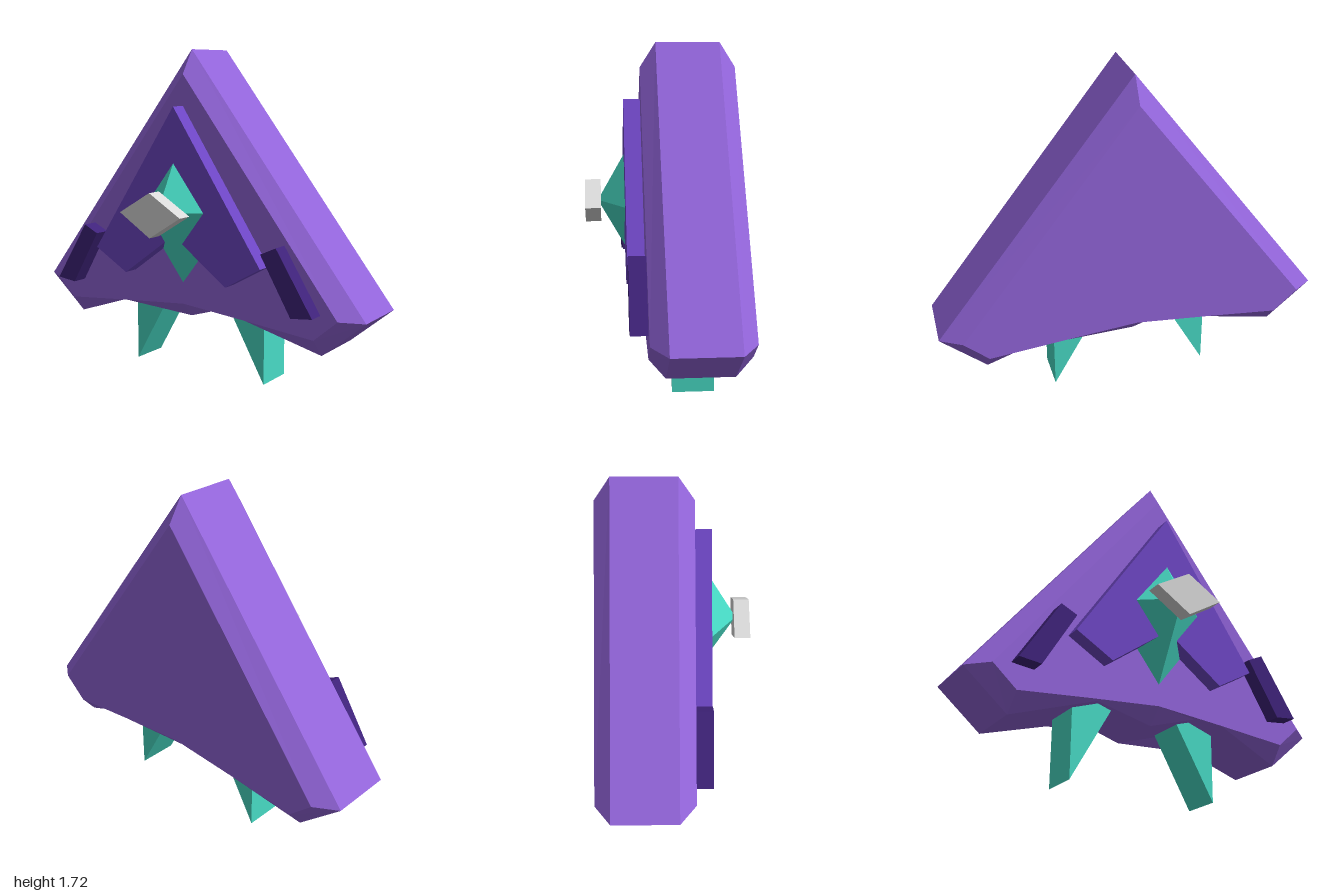
import * as THREE from 'three';

const paint = (name, color) => {
  const m = new THREE.MeshStandardMaterial({ color });
  m.name = name;
  return m;
};

// Half outline (apex to bottom centre, x >= 0) mirrored into a full anticlockwise ring
function mirrorRing(half) {
  const left = half.map(([x, y]) => [-x, y]);
  return [...left, ...half.slice(1, -1).reverse()];
}

// Flat-faced solid through rings ordered front to back, capped at both ends
function loft(rings) {
  const pos = [];
  const n = rings[0].points.length;
  const put = (r, i) => pos.push(...rings[r].points[i % n], rings[r].z);
  for (let r = 0; r < rings.length - 1; r++) {
    for (let i = 0; i < n; i++) {
      put(r, i); put(r + 1, i); put(r + 1, i + 1);
      put(r, i); put(r + 1, i + 1); put(r, i + 1);
    }
  }
  const last = rings.length - 1;
  const contour = rings[0].points.map(([x, y]) => new THREE.Vector2(x, y));
  for (const [a, b, c] of THREE.ShapeUtils.triangulateShape(contour, [])) {
    put(0, a); put(0, b); put(0, c);
    put(last, a); put(last, c); put(last, b);
  }
  const g = new THREE.BufferGeometry();
  g.setAttribute('position', new THREE.Float32BufferAttribute(pos, 3));
  g.computeVertexNormals();
  return g;
}

// Straight plate from an outline between two depths
function plate(points, zBack, zFront) {
  const shape = new THREE.Shape(points.map(([x, y]) => new THREE.Vector2(x, y)));
  const g = new THREE.ExtrudeGeometry(shape, { depth: zFront - zBack, bevelEnabled: false });
  return g.translate(0, 0, zBack);
}

export function createModel() {
  const group = new THREE.Group();
  const purple = paint('purple', 0x9365db);
  const violet = paint('violet', 0x6f47c6);
  const darkViolet = paint('dark violet', 0x40237c);
  const teal = paint('teal', 0x48dcc6);
  const silver = paint('silver', 0xdadada);

  const add = (name, geometry, material) => {
    const mesh = new THREE.Mesh(geometry, material);
    mesh.name = name;
    group.add(mesh);
  };

  // Bevelled triangular body with a notched underside
  const face = mirrorRing([[0, 1.59], [0.89, 0.44], [0.765, 0.33], [0.38, 0.367], [0, 0.4]]);
  const rim = mirrorRing([[0, 1.715], [1, 0.43], [0.77, 0.235], [0.27, 0.405], [0, 0.32]]);
  add('body', loft([
    { points: face, z: 0.1 },
    { points: rim, z: 0.02 },
    { points: rim, z: -0.305 },
    { points: face, z: -0.385 },
  ]), purple);

  // Raised arrowhead panel
  const chevron = mirrorRing([[0, 1.43], [0.515, 0.66], [0.315, 0.545], [0, 0.775]]);
  add('chevronPanel', plate(chevron, 0.09, 0.185), violet);

  // Faceted gem, sunk into the panel
  const gem = new THREE.ConeGeometry(1, 1, 4).toNonIndexed();
  gem.rotateX(Math.PI / 2).scale(0.3, 0.39, 0.221).translate(0, 0.905, 0.2105);
  gem.computeVertexNormals();
  add('gem', gem, teal);

  // Diamond plate on the gem's tip
  add('diamondPlate', plate([[0, 1.015], [-0.185, 0.905], [0, 0.79], [0.185, 0.905]], 0.305, 0.385), silver);

  // Side bars and pointed legs, mirrored
  for (const [side, s] of [['left', 1], ['right', -1]]) {
    const flip = (pts) => pts.map(([x, y]) => [s * x, y]);
    add(side + 'Bar', plate(flip([[0.6, 0.775], [0.515, 0.735], [0.685, 0.445], [0.8, 0.458]]), 0.09, 0.185), darkViolet);
    add(side + 'Leg', plate(flip([[0.412, 0], [0.412, 0.55], [0.15, 0.46]]), -0.25, -0.037), teal);
  }

  return group;
}
